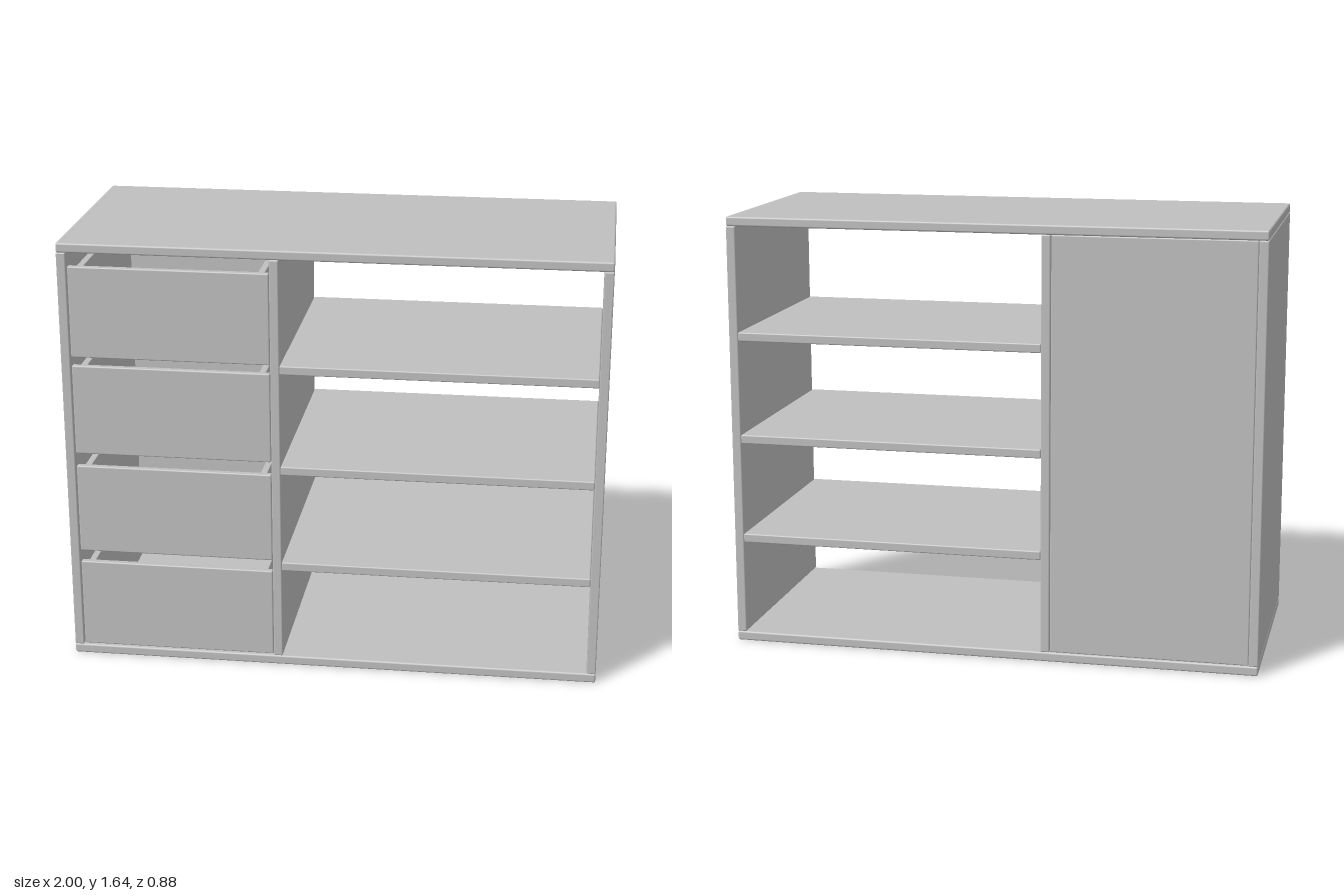
import * as THREE from 'three';
import { RoundedBoxGeometry } from 'three/addons/geometries/RoundedBoxGeometry.js';

const grey = new THREE.MeshStandardMaterial({ color: 0xbfbfbf });
grey.name = 'cabinetGrey';

// Board with softened edges, given by its lower and upper limits on each axis
function board(name, [x0, x1], [y0, y1], [z0, z1], radius = 0.005) {
  const geometry = new RoundedBoxGeometry(x1 - x0, y1 - y0, z1 - z0, 2, radius);
  const mesh = new THREE.Mesh(geometry, grey);
  mesh.name = name;
  mesh.position.set((x0 + x1) / 2, (y0 + y1) / 2, (z0 + z1) / 2);
  return mesh;
}

// Open-topped drawer with its bottom edge at y
function drawer(y) {
  const group = new THREE.Group();
  group.name = 'drawer';
  const walls = [y + 0.012, y + 0.335];
  group.add(
    board('drawerFront', [-0.962, -0.224], [y, y + 0.345], [0.41, 0.435]),
    board('drawerSideRight', [-0.94, -0.915], walls, [-0.38, 0.412], 0.003),
    board('drawerSideLeft', [-0.271, -0.246], walls, [-0.38, 0.412], 0.003),
    board('drawerBack', [-0.92, -0.266], walls, [-0.38, -0.355], 0.003),
    board('drawerBottom', [-0.92, -0.266], [y + 0.014, y + 0.03], [-0.36, 0.412], 0.003),
  );
  return group;
}

export function createModel() {
  const model = new THREE.Group();
  model.name = 'cabinet';
  const depth = [-0.44, 0.44];
  const inner = [0.036, 1.6];

  // Carcass
  model.add(
    board('topPanel', [-1, 1], [1.6, 1.636], depth, 0.007),
    board('bottomPanel', [-1, 1], [0, 0.036], depth, 0.007),
    board('sidePanelRight', [-1, -0.965], inner, depth),
    board('sidePanelLeft', [0.965, 1], inner, depth),
    board('divider', [-0.222, -0.188], inner, depth),
    board('drawerBayBack', [-0.964, -0.223], inner, [-0.434, -0.402]),
  );

  // Open shelves
  for (const y of [0.392, 0.778, 1.17]) {
    model.add(board('shelf', [-0.188, 0.965], [y, y + 0.034], depth));
  }

  // Drawers
  for (const y of [0.04, 0.43, 0.825, 1.203]) model.add(drawer(y));

  return model;
}
